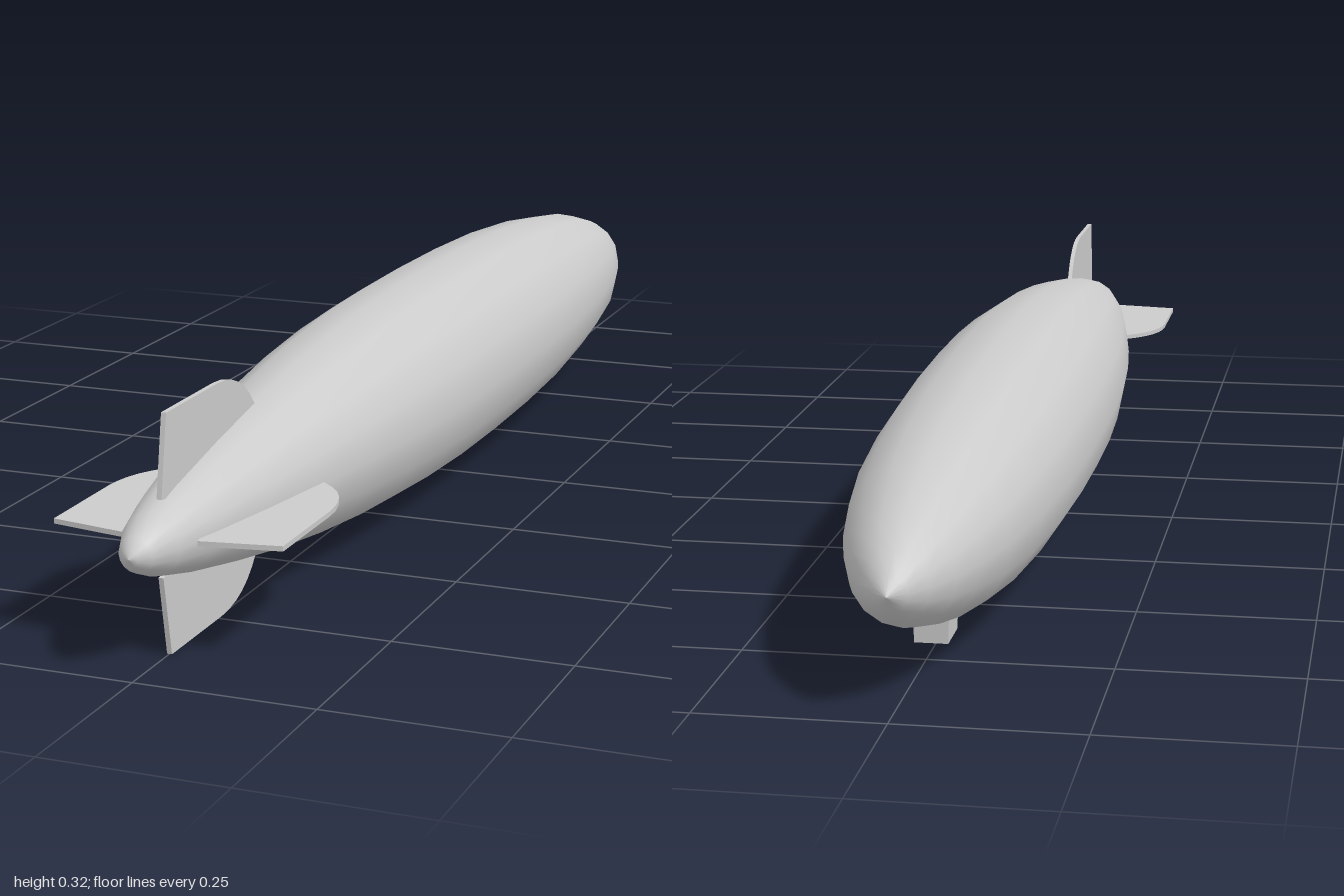
import * as THREE from 'three';

const AXIS_Y = 0.161;

export function createModel() {
  const group = new THREE.Group();
  const material = new THREE.MeshStandardMaterial({ color: 0xcccccc });
  const add = (geometry, name, parent = group) => {
    const mesh = new THREE.Mesh(geometry, material);
    mesh.name = name;
    parent.add(mesh);
    return mesh;
  };

  // Hull: 16-sided body of revolution, pairs of radius and z from nose to tail
  const profile = [
    [0, -1], [0.024, -0.98], [0.046, -0.95], [0.07, -0.9], [0.09, -0.835], [0.112, -0.74],
    [0.131, -0.6], [0.145, -0.42], [0.151, -0.25], [0.153, -0.08], [0.152, 0.08],
    [0.147, 0.22], [0.137, 0.36], [0.122, 0.5], [0.104, 0.63], [0.083, 0.75],
    [0.059, 0.87], [0.041, 0.94], [0.024, 0.98], [0.011, 0.995], [0, 1],
  ].map(([r, z]) => new THREE.Vector2(r, z));
  const hullGeometry = new THREE.LatheGeometry(profile, 16);
  hullGeometry.rotateX(Math.PI / 2);
  add(hullGeometry, 'hull').position.y = AXIS_Y;

  // Tail fin: rounded leading edge, raked trailing edge, root inside the hull
  const outline = new THREE.Shape();
  outline.moveTo(0.6, 0.09);
  outline.lineTo(0.625, 0.106);
  outline.quadraticCurveTo(0.665, 0.16, 0.74, 0.161);
  outline.lineTo(0.893, 0.161);
  outline.lineTo(0.912, 0.052);
  outline.lineTo(0.87, 0.045);
  outline.closePath();
  const finGeometry = new THREE.ExtrudeGeometry(outline, {
    depth: 0.007, bevelEnabled: false, curveSegments: 6,
  });
  finGeometry.translate(0, 0, -0.0035);
  finGeometry.rotateY(-Math.PI / 2);

  // Four fins in a cross
  const fins = new THREE.Group();
  fins.name = 'tailFins';
  fins.position.y = AXIS_Y;
  ['topFin', 'leftFin', 'bottomFin', 'rightFin'].forEach((name, i) => {
    add(finGeometry, name, fins).rotation.z = -i * Math.PI / 2;
  });
  group.add(fins);

  // Gondola: small cabin under the nose, narrowing slightly to its floor
  const cabin = new THREE.BoxGeometry(0.05, 0.05, 0.072);
  const p = cabin.attributes.position;
  for (let i = 0; i < p.count; i++) {
    if (p.getY(i) < 0) p.setXYZ(i, p.getX(i) * 0.92, p.getY(i), p.getZ(i) * 0.94);
  }
  cabin.computeVertexNormals();
  add(cabin, 'gondola').position.set(0, 0.036, -0.681);

  return group;
}
